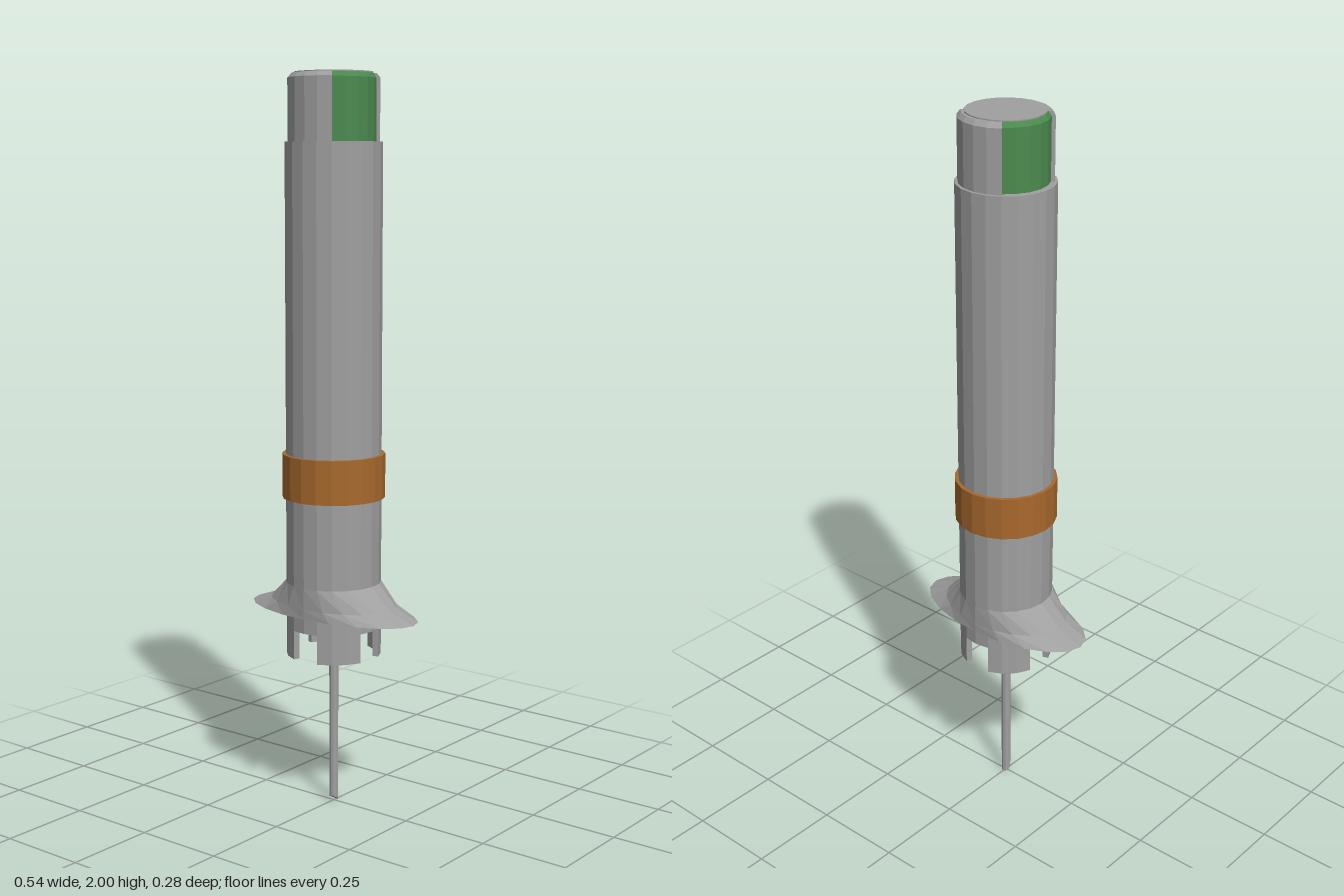
import * as THREE from 'three';
import { mergeGeometries } from 'three/addons/utils/BufferGeometryUtils.js';

const SIDES = 20;
const STEP = (Math.PI * 2) / SIDES;
const pts = (list) => list.map(([x, y]) => new THREE.Vector2(x, y));

function material(name, color) {
  const m = new THREE.MeshStandardMaterial({ color, flatShading: true });
  m.name = name;
  return m;
}

// Full ring turned from an (r, y) profile listed counter-clockwise
const turned = (profile) => new THREE.LatheGeometry(pts(profile), SIDES);

// Part of a ring, from a closed counter-clockwise profile, with capped ends
function sector(profile, firstStep, steps) {
  const start = firstStep * STEP, length = steps * STEP;
  const shell = new THREE.LatheGeometry(pts([...profile, profile[0]]), steps, start, length);
  const cap = (angle) => new THREE.ShapeGeometry(new THREE.Shape(pts(profile))).rotateY(angle - Math.PI / 2);
  const endCap = cap(start + length);
  endCap.index.array.reverse();
  return mergeGeometries([shell, cap(start), endCap]);
}

export function createModel() {
  const group = new THREE.Group();
  const grey = material('grey metal', 0xa0a0a0);
  const orange = material('orange band', 0xa8692d);
  const green = material('green panel', 0x4c8a50);

  const add = (name, geometry, mat) => {
    const mesh = new THREE.Mesh(geometry, mat);
    mesh.name = name;
    group.add(mesh);
    return mesh;
  };

  // Main tube, hollow at its lower end
  add('body', turned([[0, 0.55], [0.113, 0.55], [0.113, 0.51], [0.13, 0.51], [0.13, 1.82], [0, 1.82]]), grey);

  // Band around the tube
  add('band', turned([[0.128, 0.87], [0.14, 0.87], [0.14, 0.99], [0.128, 0.99]]), orange);

  // Cap core with alternating grey and green quarter panels
  add('capCore', turned([[0.104, 1.81], [0.104, 2], [0, 2]]), grey);
  const greyPanel = [[0.1, 1.815], [0.122, 1.815], [0.122, 1.985], [0.112, 1.997], [0.1, 1.997]];
  const greenPanel = [[0.1, 1.815], [0.112, 1.815], [0.112, 1.984], [0.104, 1.997], [0.1, 1.997]];
  for (const first of [-3, 7]) {
    add('greyCapPanel', sector(greyPanel, first, 5), grey);
    add('greenCapPanel', sector(greenPanel, first + 5, 5), green);
  }

  // Finger flange: wide along x, no deeper than the tube along z
  const flange = turned([[0.125, 0.55], [0.27, 0.55], [0.195, 0.577], [0.131, 0.635]]);
  const p = flange.attributes.position;
  for (let i = 0; i < p.count; i++) {
    const r = Math.hypot(p.getX(i), p.getZ(i));
    p.setZ(i, p.getZ(i) * Math.min(1, 0.131 / r));
  }
  add('flange', flange, grey);

  // Four prongs at the open end
  const prong = [[0.113, 0.43], [0.13, 0.43], [0.13, 0.515], [0.113, 0.515]];
  for (let i = 0; i < 4; i++) add('prong', sector(prong, 1 + i * 5, 3), grey);

  // Needle with a slanted tip
  const needle = new THREE.CylinderGeometry(0.013, 0.013, 0.56, 10).translate(0, 0.28, 0);
  const n = needle.attributes.position;
  for (let i = 0; i < n.count; i++) {
    if (n.getY(i) < 0.1) n.setY(i, (n.getZ(i) + 0.013) * 0.65);
  }
  add('needle', needle, grey);

  return group;
}
